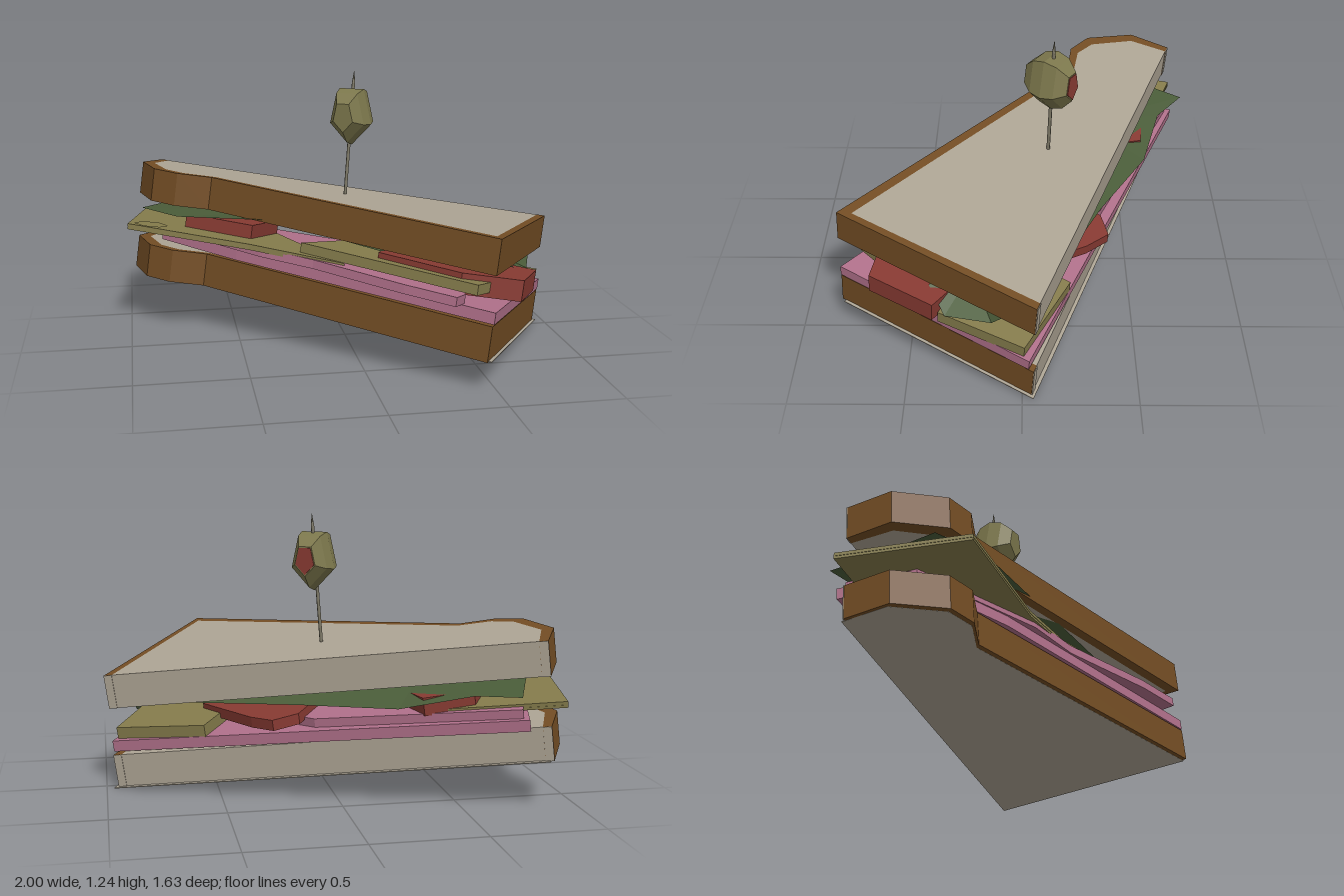
import * as THREE from 'three';

const mat = (name, color, extra = {}) => {
  const m = new THREE.MeshStandardMaterial({ color, ...extra });
  m.name = name;
  return m;
};

// The whole stack leans: height falls towards +x and rises towards +z.
const SLOPE_X = -0.14, SLOPE_Z = 0.06, BASE = 0.674;
const planeY = (x, z) => BASE + SLOPE_X * x + SLOPE_Z * z;

export function createModel() {
  const model = new THREE.Group();
  model.name = 'sandwich';

  const bread = mat('bread', 0xada494);
  const crust = mat('crust', 0x734d24);
  const ham = mat('ham', 0xb0708a);
  const tomato = mat('tomato', 0x873a32);
  const cheese = mat('cheese', 0x857c4c);
  const lettuce = mat('lettuce', 0x4a5c39, { side: THREE.DoubleSide });
  const oliveSkin = mat('olive', 0x7d784d);
  const wood = mat('wood', 0x7f7a68);

  const add = (parent, name, geometry, material) => {
    const mesh = new THREE.Mesh(geometry, material);
    mesh.name = name;
    parent.add(mesh);
    return mesh;
  };

  // Leaning slab from an [x, z] outline; h is its top, measured from the top of the stack
  const slab = (parent, name, material, outline, h, thickness, hole) => {
    const toShape = (pts) => pts.map(([x, z]) => new THREE.Vector2(x, -z));
    const shape = new THREE.Shape(toShape(outline));
    if (hole) shape.holes.push(new THREE.Path(toShape(hole)));
    const geo = new THREE.ExtrudeGeometry(shape, { depth: thickness, bevelEnabled: false });
    geo.rotateX(-Math.PI / 2).translate(0, -thickness, 0);
    geo.applyMatrix4(new THREE.Matrix4().set(
      1, -SLOPE_X, 0, 0,
      SLOPE_X, 1, SLOPE_Z, BASE + h,
      0, -SLOPE_Z, 1, 0,
      0, 0, 0, 1));
    return add(parent, name, geo, material);
  };

  // Thin leaf: a fan of [x, z, h] rim points around a middle point
  const leaf = (name, centre, rim) => {
    const at = ([x, z, h]) => [x, planeY(x, z) + h, z];
    const pos = [];
    rim.forEach((p, i) => pos.push(...at(centre), ...at(rim[(i + 1) % rim.length]), ...at(p)));
    const geo = new THREE.BufferGeometry();
    geo.setAttribute('position', new THREE.Float32BufferAttribute(pos, 3));
    geo.computeVertexNormals();
    add(model, name, geo, lettuce);
  };

  // Bread slices: cut along the back, crust around the other sides
  const outer = [[-0.82, -0.74], [-0.915, -0.56], [-0.865, -0.33], [-0.76, -0.24],
    [-0.6, -0.22], [0.51, 0.8], [1.0, -0.06]];
  const inner = [[-0.785, -0.727], [-0.86, -0.556], [-0.81, -0.35], [-0.73, -0.275],
    [-0.58, -0.25], [0.51, 0.735], [0.965, -0.073]];
  const slice = (name, h, underside) => {
    const g = new THREE.Group();
    g.name = name;
    slab(g, name + 'Crumb', bread, inner, h, 0.153);
    slab(g, name + 'Crust', crust, [...outer, ...[...inner].reverse()], h, 0.153);
    if (underside) slab(g, name + 'Underside', bread, outer, h - 0.153, 0.004);
    // The crust ends on the cut side are pale like the crumb
    for (const i of [0, 6]) {
      const [a, b] = [outer[i], inner[i]];
      slab(g, name + 'CutEnd', bread,
        [[a[0], a[1] - 0.001], [b[0], b[1] - 0.001], [b[0] + 0.001, b[1] - 0.004], [a[0] + 0.001, a[1] - 0.004]],
        h, 0.153);
    }
    model.add(g);
    return g;
  };
  slice('topBread', 0, false);
  slice('bottomBread', -0.37, true).position.set(-0.033, 0, 0.012);

  // Ham
  slab(model, 'lowerHam', ham, [[-0.74, -0.77], [-0.83, -0.45], [-0.5, -0.08], [0.49, 0.81], [0.97, -0.03]], -0.315, 0.05);
  slab(model, 'upperHam', ham, [[-0.72, -0.74], [-0.82, -0.45], [-0.4, 0.04], [-0.18, 0.21],
    [0.155, 0.58], [0.34, 0.75], [0.4, 0.67], [0.45, 0.1], [0.1, -0.36]], -0.275, 0.04);

  // Cheese: the left slice has a round dimple
  const cheeseLeft = [[-1.0, -0.23], [-0.905, -0.77], [-0.35, -0.55], [-0.05, 0.28], [-0.45, 0.02]];
  const dimple = Array.from({ length: 6 }, (_, i) => {
    const a = i * Math.PI / 3;
    return [-0.89 + 0.075 * Math.cos(a), -0.27 + 0.06 * Math.sin(a)];
  });
  slab(model, 'leftCheese', cheese, cheeseLeft, -0.265, 0.015, dimple);
  slab(model, 'leftCheeseBase', cheese, cheeseLeft, -0.28, 0.012);
  slab(model, 'frontCheese', cheese, [[-0.22, 0.1], [0.44, 0.72], [0.6, 0.55], [0.05, -0.1]], -0.22, 0.045);
  slab(model, 'rightCheese', cheese, [[0.95, -0.01], [0.57, -0.21], [0.35, 0.15], [0.78, 0.36]], -0.262, 0.055);

  // Tomato
  slab(model, 'rightTomato', tomato, [[0.66, 0.66], [0.4, 0.61], [0.1, 0.3], [0.2, 0.1], [0.55, 0.18], [0.81, 0.38]], -0.195, 0.092);
  slab(model, 'backTomato', tomato, [[0.29, -0.39], [0.17, -0.36], [0.0, -0.1], [0.2, 0.1], [0.55, 0.05], [0.37, -0.29]], -0.238, 0.048);
  slab(model, 'leftTomato', tomato, [[-0.72, -0.3], [-0.42, -0.13], [-0.27, -0.35], [-0.33, -0.58], [-0.55, -0.6]], -0.2, 0.08);

  // Lettuce
  leaf('largeLettuce', [-0.4, -0.3, -0.165], [[-0.93, -0.38, -0.205], [-0.77, -0.18, -0.2], [-0.35, 0.03, -0.14],
    [0.1, 0.35, -0.18], [0.4, 0.1, -0.17], [0.6, -0.15, -0.17], [0.17, -0.36, -0.2],
    [-0.22, -0.59, -0.225], [-0.53, -0.68, -0.2], [-0.69, -0.81, -0.2], [-0.78, -0.6, -0.19]]);
  leaf('rightLettuce', [0.65, 0.22, -0.16], [[0.7, 0.4, -0.19], [0.81, 0.33, -0.25], [0.85, 0.13, -0.235],
    [0.88, 0.06, -0.16], [0.5, -0.1, -0.17], [0.3, 0.2, -0.17]]);

  // Pick: a thin stick with a pointed tip
  const stick = (name, from, to, rTop, rBottom) => {
    const dir = new THREE.Vector3().subVectors(to, from);
    const mesh = add(model, name, new THREE.CylinderGeometry(rTop, rBottom, dir.length(), 6), wood);
    mesh.position.addVectors(from, to).multiplyScalar(0.5);
    mesh.quaternion.setFromUnitVectors(new THREE.Vector3(0, 1, 0), dir.normalize());
  };
  const neck = new THREE.Vector3(0.065, 1.19, -0.133);
  stick('pickShaft', new THREE.Vector3(0.013, 0.55, -0.111), neck, 0.008, 0.008);
  stick('pickTip', neck, new THREE.Vector3(0.069, 1.245, -0.135), 0.001, 0.008);

  // Olive: five-sided, lying on its side, with a red filling at one end
  const olive = new THREE.Group();
  olive.name = 'olive';
  const R = 0.146;
  const profile = [[0, -0.11], [0.5, -0.11], [0.87, -0.06], [1, 0], [0.87, 0.06], [0.5, 0.11], [0, 0.11]]
    .map(([r, y]) => new THREE.Vector2(r * R, y));
  const lay = (geo) => {
    const flat = geo.toNonIndexed().rotateX(Math.PI / 2).scale(0.7, 1, 1);
    flat.computeVertexNormals();
    return flat;
  };
  add(olive, 'oliveBody', lay(new THREE.LatheGeometry(profile, 5)), oliveSkin);
  add(olive, 'oliveFilling', lay(new THREE.CylinderGeometry(0.45 * R, 0.45 * R, 0.006, 5).translate(0, 0.111, 0)), tomato);
  olive.position.set(0.055, 1.046, -0.122);
  olive.rotation.y = Math.atan2(0.54, -0.84);
  model.add(olive);

  return model;
}
